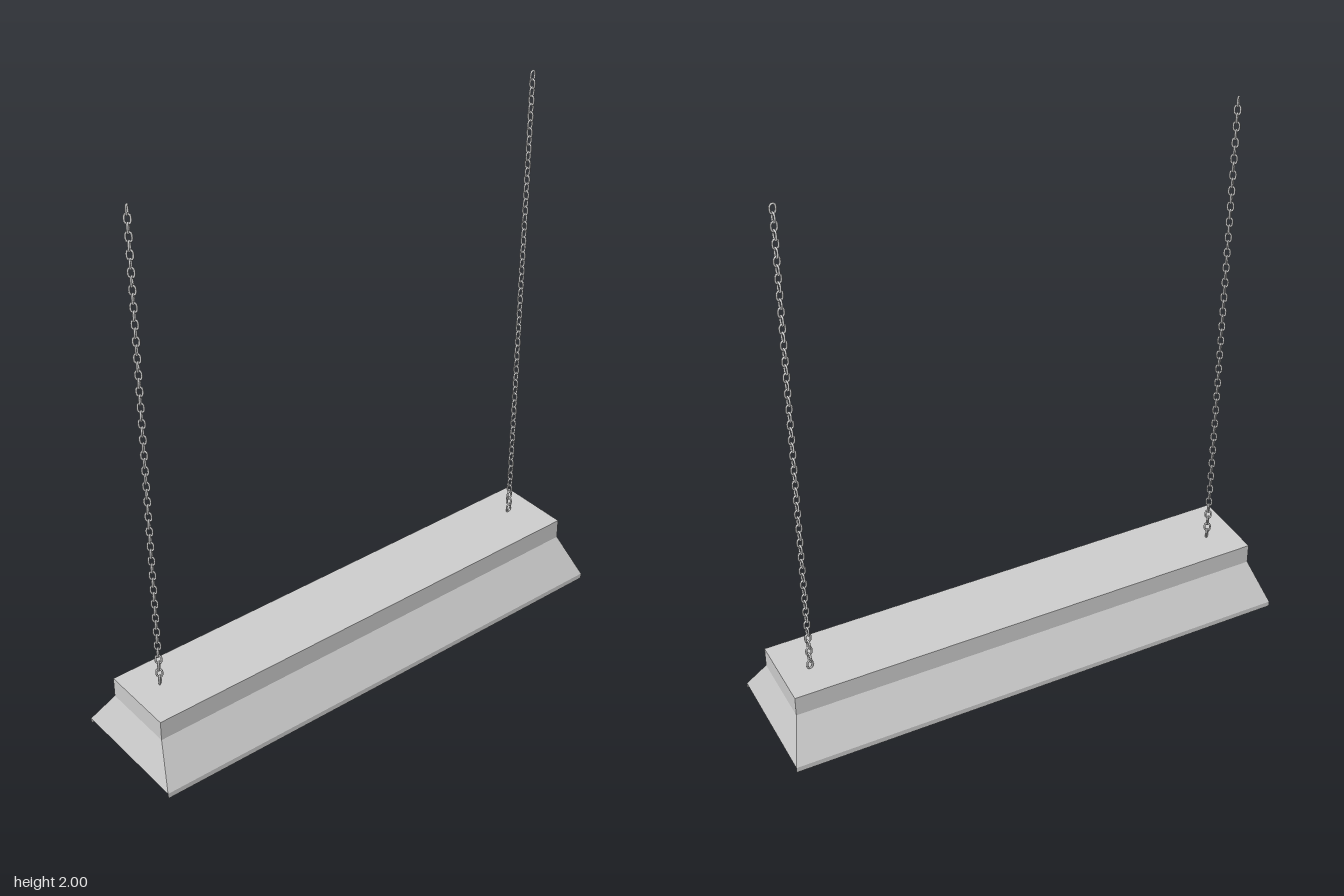
import * as THREE from 'three';

const grey = new THREE.MeshStandardMaterial({ color: 0xcccccc });
const sheet = new THREE.MeshStandardMaterial({ color: 0xcccccc, side: THREE.DoubleSide });

// Open sheet-metal shell lofted through rectangles [half x, half z, y], bottom to top
function shell(rings) {
  const corners = rings.map(([x, z, y]) => [[x, y, z], [x, y, -z], [-x, y, -z], [-x, y, z]]);
  const pos = [];
  const quad = (a, b, c, d) => pos.push(...a, ...b, ...c, ...a, ...c, ...d);
  for (let r = 0; r < corners.length - 1; r++) {
    for (let i = 0; i < 4; i++) {
      const j = (i + 1) % 4;
      quad(corners[r][i], corners[r][j], corners[r + 1][j], corners[r + 1][i]);
    }
  }
  quad(...corners[corners.length - 1]); // closed top
  const geo = new THREE.BufferGeometry();
  geo.setAttribute('position', new THREE.Float32BufferAttribute(pos, 3));
  geo.computeVertexNormals();
  return geo;
}

// One oval wire link standing in the XY plane
function linkGeometry(halfWidth, halfLength, wire) {
  const pts = [];
  const straight = halfLength - halfWidth;
  for (let i = 0; i < 12; i++) {
    const a = ((i + 0.5) / 12) * Math.PI * 2;
    const s = Math.sin(a);
    pts.push(new THREE.Vector3(Math.cos(a) * halfWidth, s * halfWidth + Math.sign(s) * straight, 0));
  }
  return new THREE.TubeGeometry(new THREE.CatmullRomCurve3(pts, true), 16, wire, 6, true);
}

// Vertical run of links, each turned a quarter turn from the one before
function chain(name, x, z, yaw) {
  const group = new THREE.Group();
  group.name = name;
  const wire = 0.0036, halfWidth = 0.0095, halfLength = 0.0165;
  const geo = linkGeometry(halfWidth, halfLength, wire);
  const bottom = 0.235 + halfLength, top = 2 - halfLength - wire, count = 61;
  for (let i = 0; i < count; i++) {
    const link = new THREE.Mesh(geo, grey);
    link.name = 'chainLink';
    link.position.y = bottom + ((top - bottom) * i) / (count - 1);
    link.rotation.y = yaw + (i % 2) * Math.PI / 2;
    group.add(link);
  }
  group.position.set(x, 0, z);
  return group;
}

export function createModel() {
  const model = new THREE.Group();
  model.name = 'hangingLamp';

  // Flared reflector with a straight-sided top channel, open underneath
  const housing = new THREE.Mesh(
    shell([[0.94, 0.234, 0.02], [0.893, 0.14, 0.16], [0.893, 0.14, 0.235]]), sheet);
  housing.name = 'lampHousing';
  model.add(housing);

  // Thin turned-down lips along both long edges
  for (const side of [1, -1]) {
    const lip = new THREE.Mesh(new THREE.PlaneGeometry(1.88, 0.02), sheet);
    lip.name = side > 0 ? 'frontLip' : 'backLip';
    lip.position.set(0, 0.01, side * 0.234);
    if (side < 0) lip.rotation.y = Math.PI;
    model.add(lip);
  }

  // Suspension chains
  model.add(chain('rightChain', -0.785, -0.022, Math.PI / 4));
  model.add(chain('leftChain', 0.79, -0.022, 0.1));
  return model;
}
